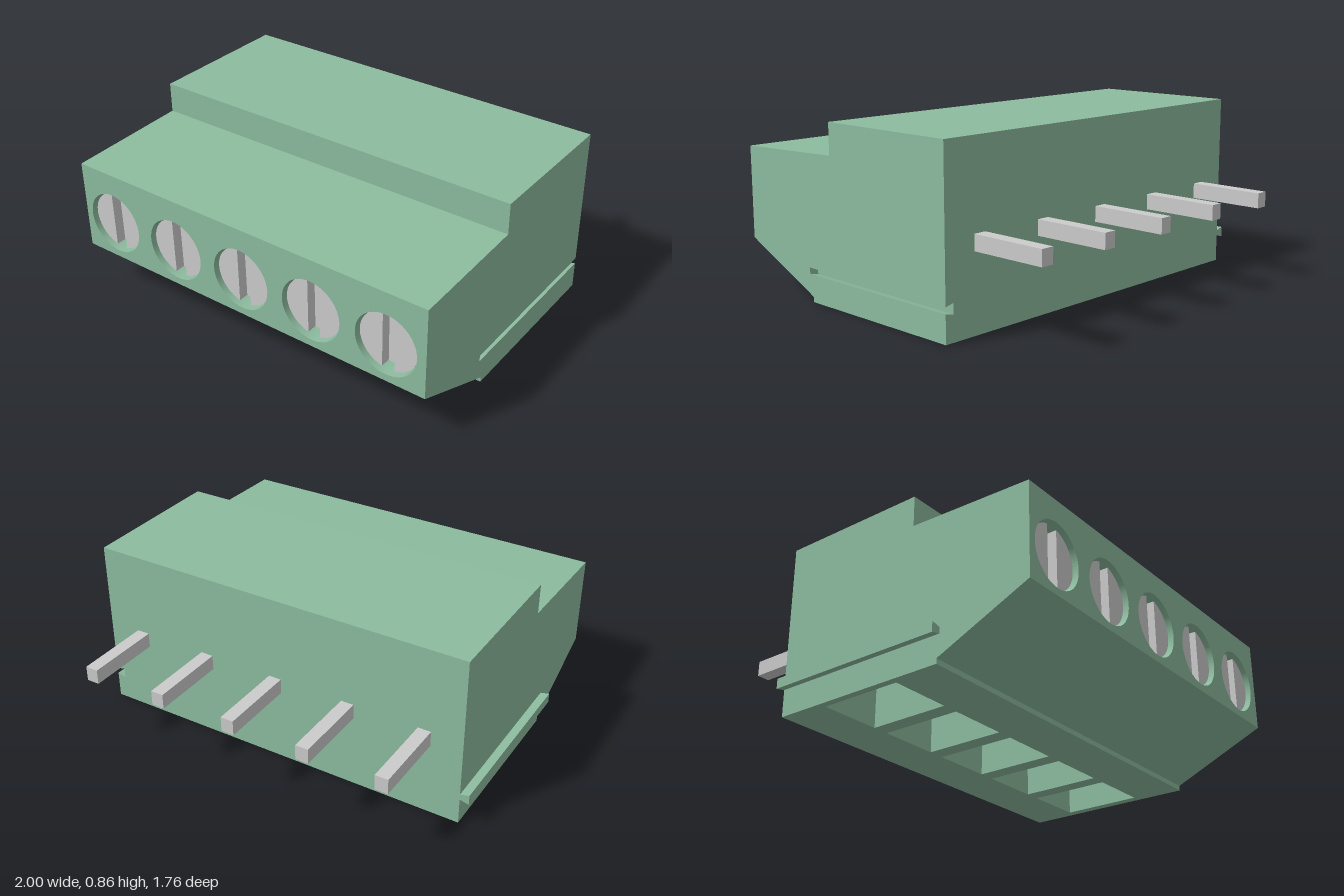
import * as THREE from 'three';

const green = new THREE.MeshStandardMaterial({ color: 0x8cbb9e, side: THREE.DoubleSide });
const grey = new THREE.MeshStandardMaterial({ color: 0xcccccc });

const X0 = -0.955, X1 = 1, BACK = -0.5, FRONT = 0.88;
const POLES = [-0.765, -0.374, 0.018, 0.41, 0.8];
const SCREW_Y = 0.425, HOLE_R = 0.155, SCREW_R = 0.147;
const KEY_Y = 0.148;

const shapeOf = (pts) => new THREE.Shape(pts.map(([u, v]) => new THREE.Vector2(u, v)));
const rect = (u0, v0, u1, v1) => [[u0, v0], [u1, v0], [u1, v1], [u0, v1]];

function add(parent, name, geometry, material, x = 0, y = 0, z = 0) {
  const mesh = new THREE.Mesh(geometry, material);
  mesh.name = name;
  mesh.position.set(x, y, z);
  parent.add(mesh);
  return mesh;
}

// Flat-shaded strip: a 2D path swept between two depths; map gives the 3D point
function strip(path, d0, d1, map) {
  const pos = [];
  for (let i = 0; i < path.length - 1; i++) {
    const a0 = map(...path[i], d0), b0 = map(...path[i + 1], d0);
    const a1 = map(...path[i], d1), b1 = map(...path[i + 1], d1);
    pos.push(...a0, ...b0, ...b1, ...a0, ...b1, ...a1);
  }
  const g = new THREE.BufferGeometry();
  g.setAttribute('position', new THREE.Float32BufferAttribute(pos, 3));
  g.computeVertexNormals();
  return g;
}

function buildHousing() {
  const housing = new THREE.Group();
  housing.name = 'housing';

  // Stepped top and sloped chin, as (z, y) paths
  const top = [[BACK, 0.862], [0.255, 0.862], [0.255, 0.71], [FRONT, 0.69]];
  const chin = [[FRONT, 0.235], [0.408, 0.025], [0.408, 0]];
  const across = (z, y, x) => [x, y, z];
  add(housing, 'steppedTop', strip(top, X0, X1, across), green);
  add(housing, 'slopedChin', strip(chin, X0, X1, across), green);

  // Front wall with round screw openings
  const front = shapeOf(rect(X0, 0.235, X1, 0.69));
  for (const x of POLES) {
    front.holes.push(new THREE.Path().absarc(x, SCREW_Y, HOLE_R, 0, Math.PI * 2, true));
  }
  add(housing, 'frontWall', new THREE.ShapeGeometry(front, 24), green, 0, 0, FRONT);

  // Underside with rectangular wire openings
  const bottom = shapeOf(rect(X0, BACK, X1, 0.408));
  for (const x of POLES) {
    bottom.holes.push(shapeOf(rect(x - 0.155, -0.26, x + 0.155, 0.157)));
  }
  add(housing, 'underside', new THREE.ShapeGeometry(bottom).rotateX(Math.PI / 2), green);

  // Side walls; the left one is open along the key groove
  const outline = [...top, ...chin, [BACK, 0]].map(([z, y]) => [-z, y]);
  const n = 0.015, w = 0.025, gz = 0.43;
  const notched = [...outline, [-BACK, KEY_Y - n], [-gz, KEY_Y - n], [-gz, KEY_Y + n], [-BACK, KEY_Y + n]];
  add(housing, 'leftWall', new THREE.ShapeGeometry(shapeOf(notched)).rotateY(Math.PI / 2), green, X1);
  const plain = outline.map(([u, v]) => [-u, v]);
  add(housing, 'rightWall', new THREE.ShapeGeometry(shapeOf(plain)).rotateY(-Math.PI / 2), green, X0);

  // Dovetail groove and the back wall it cuts through
  const groove = [[X1, KEY_Y - n], [X1 - 0.045, KEY_Y - w], [X1 - 0.045, KEY_Y + w], [X1, KEY_Y + n]];
  add(housing, 'keyGroove', strip(groove, BACK, gz, (x, y, z) => [x, y, z]), green);
  add(housing, 'keyGrooveEnd', new THREE.ShapeGeometry(shapeOf(groove)).rotateY(Math.PI), green, 2 * X1 - 2, 0, gz)
    .geometry.scale(-1, 1, 1);
  const back = [[X0, 0], [X1, 0], ...groove, [X1, 0.862], [X0, 0.862]].map(([x, y]) => [-x, y]);
  add(housing, 'backWall', new THREE.ShapeGeometry(shapeOf(back)).rotateY(Math.PI), green, 0, 0, BACK);

  // Matching dovetail key on the other side
  const key = shapeOf([[X0, KEY_Y - n], [X0, KEY_Y + n], [-1, KEY_Y + w], [-1, KEY_Y - w]]);
  add(housing, 'dovetailKey', new THREE.ExtrudeGeometry(key, { depth: 0.92, bevelEnabled: false }), green, 0, 0, BACK);

  // Linings of the wire pockets and screw bores
  const depth = 0.43;
  const pocket = [[-0.155, -0.26], [-0.155, 0.157], [0.155, 0.157], [0.155, -0.26], [-0.155, -0.26]];
  const pocketWalls = strip(pocket, 0, depth, (x, z, y) => [x, y, z]);
  const pocketRoof = new THREE.ShapeGeometry(shapeOf(pocket.slice(0, 4))).rotateX(Math.PI / 2);
  const bore = new THREE.CylinderGeometry(HOLE_R, HOLE_R, 0.16, 48, 1, true).rotateX(Math.PI / 2);
  const boreFloor = new THREE.CircleGeometry(HOLE_R, 48);
  for (const x of POLES) {
    add(housing, 'wirePocketWalls', pocketWalls, green, x);
    add(housing, 'wirePocketRoof', pocketRoof, green, x, depth);
    add(housing, 'screwBore', bore, green, x, SCREW_Y, FRONT - 0.08);
    add(housing, 'screwBoreFloor', boreFloor, green, x, SCREW_Y, FRONT - 0.16);
  }
  return housing;
}

// Slotted screw: a disc carrying two half-round lands
function buildScrew() {
  const screw = new THREE.Group();
  screw.name = 'screw';
  const slot = 0.032, t = Math.acos(slot / SCREW_R);
  const disc = new THREE.CylinderGeometry(SCREW_R, SCREW_R, 0.08, 48).rotateX(Math.PI / 2);
  add(screw, 'screwDisc', disc, grey, 0, 0, -0.09);
  const land = new THREE.Shape().absarc(0, 0, SCREW_R, -t, t, false);
  const landGeometry = new THREE.ExtrudeGeometry(land, { depth: 0.05, bevelEnabled: false, curveSegments: 24 });
  for (const turn of [0, Math.PI]) {
    add(screw, 'screwLand', landGeometry, grey, 0, 0, -0.05).rotation.z = turn;
  }
  return screw;
}

export function createModel() {
  const model = new THREE.Group();
  model.name = 'terminalBlock';
  model.add(buildHousing());

  const pin = new THREE.BoxGeometry(0.065, 0.075, 0.385);
  for (const x of POLES) {
    const screw = buildScrew();
    screw.position.set(x, SCREW_Y, FRONT - 0.025);
    model.add(screw);
    add(model, 'contactPin', pin, grey, x, 0.408, BACK - 0.1925);
  }
  return model;
}
